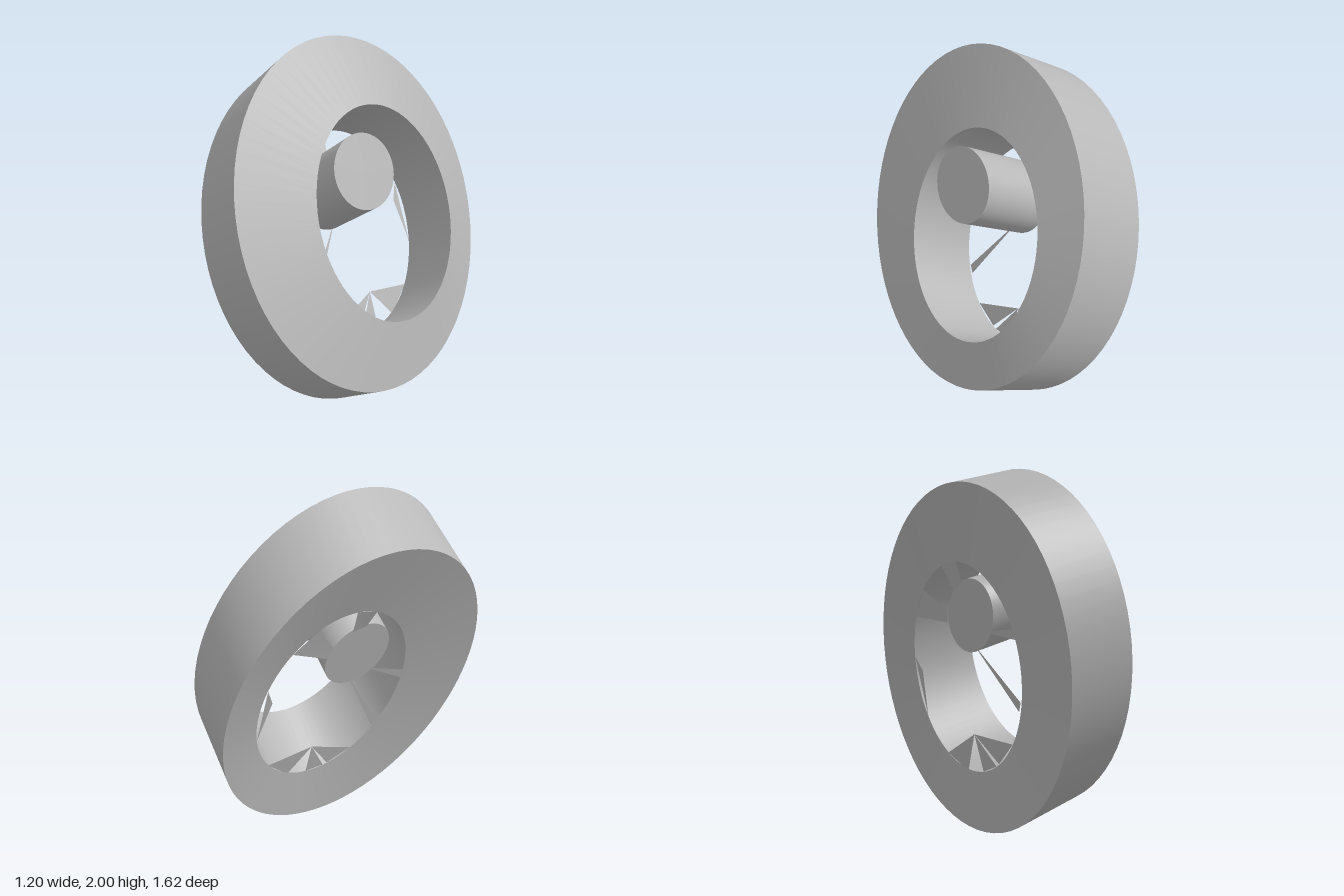
import * as THREE from 'three';

const SEG = 72;
const V = (x, y, z) => new THREE.Vector3(x, y, z);

// Tilted frame of the wheel: N faces outwards, U runs up the disc, X across it
const N = V(0.84, 0.313, 0.442).normalize();
const U = V(-0.28, 0.95, -0.13);
U.addScaledVector(N, -U.dot(N)).normalize();
const X = U.clone().cross(N);

// Every part is swept along the same slightly skewed depth
const DEPTH = V(0.3, 0.21, 0.2);
const OUTER = V(0.15, 1.105, 0.1);
const HOLE = V(0.255, 1.1, 0.035);
const HUB = V(0.155, 1.342, 0.122);

const onDisc = (c, p, q) => c.clone().addScaledVector(X, p).addScaledVector(U, q);

// Closed elliptical loop in the tilted plane
function loop(centre, a, b) {
  return Array.from({ length: SEG }, (_, i) => {
    const t = (i / SEG) * Math.PI * 2;
    return onDisc(centre, a * Math.cos(t), b * Math.sin(t));
  });
}

// Surface joining two loops
function band(name, from, to, material) {
  const index = [];
  for (let i = 0; i < SEG; i++) {
    const j = (i + 1) % SEG;
    index.push(i, j, SEG + j, i, SEG + j, SEG + i);
  }
  const g = new THREE.BufferGeometry().setFromPoints([...from, ...to]);
  g.setIndex(index);
  g.computeVertexNormals();
  const mesh = new THREE.Mesh(g, material);
  mesh.name = name;
  return mesh;
}

// Thin flat web made of a convex fan of points
function web(name, points, material) {
  const g = new THREE.BufferGeometry().setFromPoints(points);
  const index = [];
  for (let i = 1; i < points.length - 1; i++) index.push(0, i, i + 1);
  g.setIndex(index);
  g.computeVertexNormals();
  // Make the normal face the back of the wheel
  const n = g.attributes.normal;
  if (V(n.getX(0), n.getY(0), n.getZ(0)).dot(N) > 0) {
    g.setIndex(index.reverse());
    g.computeVertexNormals();
  }
  const mesh = new THREE.Mesh(g, material);
  mesh.name = name;
  return mesh;
}

export function createModel() {
  const model = new THREE.Group();
  model.name = 'wheel';
  const grey = new THREE.MeshStandardMaterial({ color: 0xb8b8b8, side: THREE.DoubleSide });
  grey.name = 'grey';

  // Rim: oval ring with an offset oval opening
  const rim = new THREE.Group();
  rim.name = 'rim';
  const back = (c) => c.clone().sub(DEPTH);
  const outerFront = loop(OUTER, 0.79, 0.94);
  const outerBack = loop(back(OUTER), 0.79, 0.94);
  const holeFront = loop(HOLE, 0.46, 0.58);
  const holeBack = loop(back(HOLE), 0.46, 0.58);
  rim.add(
    band('rimTread', outerBack, outerFront, grey),
    band('rimFrontFace', outerFront, holeFront, grey),
    band('rimInnerWall', holeFront, holeBack, grey),
    band('rimBackFace', holeBack, outerBack, grey),
  );
  model.add(rim);

  // Hub: round cylinder set above the middle
  const hub = new THREE.Group();
  hub.name = 'hub';
  const hubFront = loop(HUB, 0.2, 0.2);
  const hubBack = loop(back(HUB), 0.2, 0.2);
  hub.add(
    band('hubSide', hubBack, hubFront, grey),
    band('hubFrontFace', hubFront, loop(HUB, 0, 0), grey),
    band('hubBackFace', loop(back(HUB), 0, 0), hubBack, grey),
  );
  model.add(hub);

  // Spokes: flat webs at the back; [across, up] from the opening's centre,
  // with a third value for the slight lift towards the hub
  const lift = 0.025;
  const spokes = [
    [[0.325, 0.41], [0.195, 0.525], [0.06, 0.35, lift], [0.08, 0.28, lift]],
    [[-0.02, 0.58], [-0.15, 0.555], [-0.127, 0.44, lift], [-0.044, 0.425, lift]],
    [[-0.458, 0.045], [-0.459, -0.015], [-0.21, 0.12, lift]],
    [[-0.375, -0.32], [-0.345, -0.36], [-0.09, 0.1, lift]],
  ];
  // Gussets along the lower and side edges of the opening
  const gussets = [
    [[0.061, -0.368], [-0.23, -0.5], [-0.083, -0.568]],
    [[0.061, -0.368], [-0.056, -0.574], [0.062, -0.574]],
    [[0.061, -0.368], [0.192, -0.54], [0.335, -0.401]],
    [[0.43, 0.2], [0.39, 0.1], [0.443, -0.16]],
  ];
  const addWebs = (name, list) => {
    const group = new THREE.Group();
    group.name = name + 's';
    for (const pts of list) {
      const world = pts.map(([p, q, h = 0]) => onDisc(back(HOLE), p, q).addScaledVector(N, h));
      group.add(web(name, world, grey));
    }
    model.add(group);
  };
  addWebs('spoke', spokes);
  addWebs('gusset', gussets);
  return model;
}
